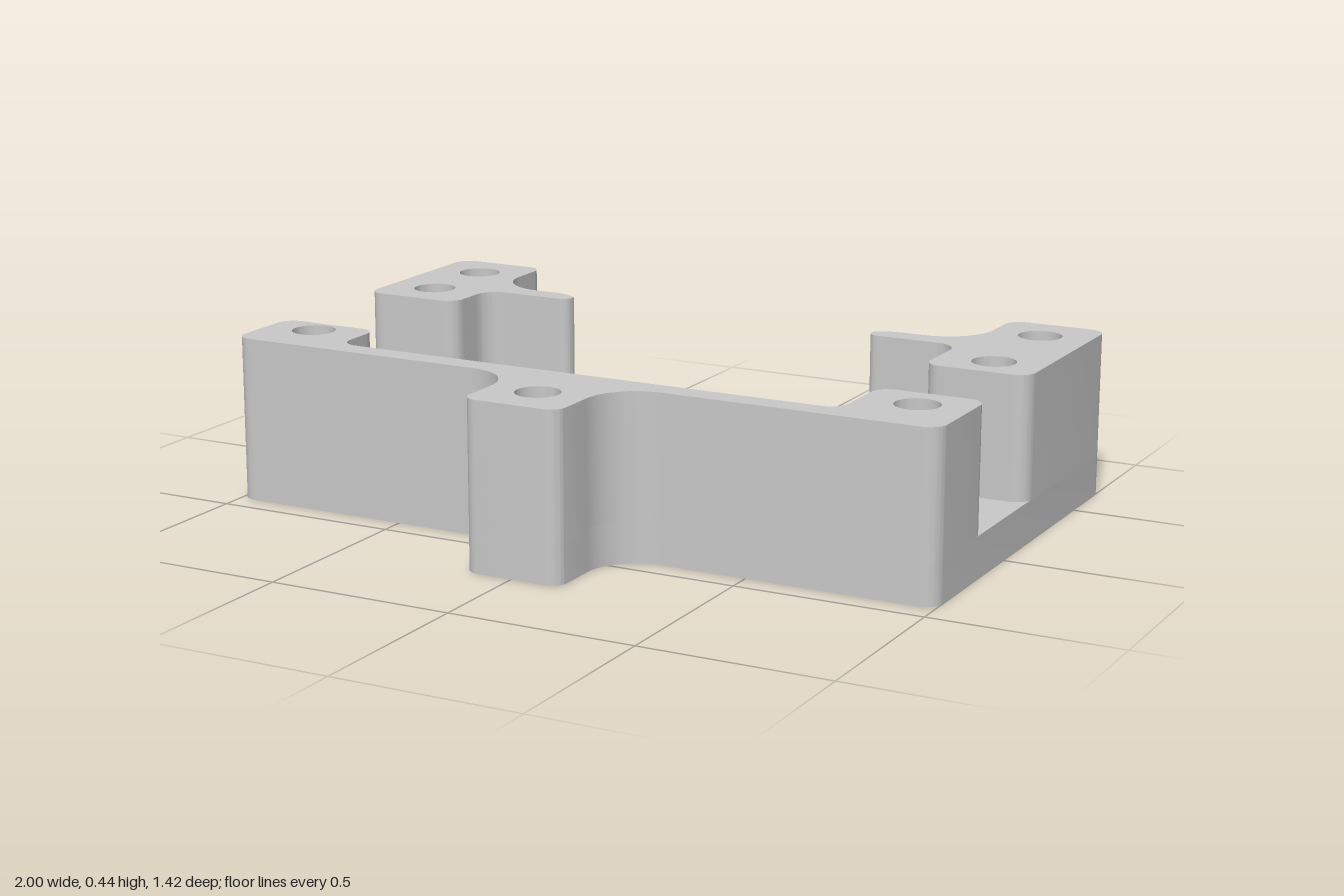
import * as THREE from 'three';
import { toCreasedNormals } from 'three/addons/utils/BufferGeometryUtils.js';

const BASE_TOP = 0.11, TOP = 0.44;

// Plan polygon from [x, z, cornerRadius] entries; returns points in shape space (x, -z)
function roundedPoints(corners) {
  const out = [], n = corners.length;
  corners.forEach(([x, z, r = 0], i) => {
    const p = new THREE.Vector2(x, -z);
    if (!r) { out.push(p); return; }
    const a = corners[(i + n - 1) % n], b = corners[(i + 1) % n];
    const u = new THREE.Vector2(a[0], -a[1]).sub(p).normalize();
    const v = new THREE.Vector2(b[0], -b[1]).sub(p).normalize();
    const half = Math.acos(u.dot(v)) / 2;
    const centre = u.clone().add(v).normalize().multiplyScalar(r / Math.sin(half)).add(p);
    const t = r / Math.tan(half);
    const s = u.multiplyScalar(t).add(p).sub(centre);
    const e = v.multiplyScalar(t).add(p).sub(centre);
    const sweep = Math.atan2(s.cross(e), s.dot(e));
    const steps = Math.max(4, Math.ceil(Math.abs(sweep) * 8));
    for (let k = 0; k <= steps; k++) {
      out.push(s.clone().rotateAround(new THREE.Vector2(), sweep * k / steps).add(centre));
    }
  });
  return out;
}

// Points [x, z] along an arc, angles in degrees measured from +x towards +z
function arc(cx, cz, r, from, to, steps) {
  return Array.from({ length: steps + 1 }, (_, k) => {
    const a = THREE.MathUtils.degToRad(from + (to - from) * k / steps);
    return [cx + r * Math.cos(a), cz + r * Math.sin(a)];
  });
}

const mirror = (pts) => pts.map(([x, z, r]) => [-x, z, r]).reverse();

// Upright slab with vertical bores; outline runs counter-clockwise, holes clockwise
function slab(name, corners, bores, y0, y1, material, openings = []) {
  const shape = new THREE.Shape(roundedPoints(corners).reverse());
  for (const [x, z, r] of bores) {
    const hole = new THREE.Path();
    hole.absarc(x, -z, r, 0, Math.PI * 2, true);
    shape.holes.push(hole);
  }
  for (const o of openings) shape.holes.push(new THREE.Path(roundedPoints(o)));
  const geo = new THREE.ExtrudeGeometry(shape, { depth: y1 - y0, bevelEnabled: false, curveSegments: 20 });
  geo.rotateX(-Math.PI / 2).translate(0, y0, 0);
  const mesh = new THREE.Mesh(toCreasedNormals(geo, 0.45), material);
  mesh.name = name;
  return mesh;
}

export function createModel() {
  const group = new THREE.Group();
  group.name = 'mountingBracket';
  const grey = new THREE.MeshStandardMaterial({ color: 0xc8c8c8 });
  grey.name = 'plainGrey';

  // Bores: x, z, radius
  const backLeftBores = [[-0.863, -0.577, 0.058], [-0.863, -0.333, 0.058]];
  const backRightBores = [[0.863, -0.577, 0.058], [0.863, -0.25, 0.058]];
  const frontBores = [[-0.863, 0.27, 0.058], [0.863, 0.245, 0.058], [0, 0.571, 0.058]];
  const innerBores = [-1, 1].flatMap((s) => [[s * 0.618, -0.25, 0.056], [s * 0.618, 0.245, 0.056]]);

  // Shared outline runs
  const backEar = [[-1, -0.71, 0.045], [-0.73, -0.71, 0.045], [-0.73, -0.44, 0.14], [-0.5, -0.44, 0.1]];
  const scoopAngle = 32.32;
  const scoop = arc(0, -1.131, 0.851, 90 + scoopAngle, 90 - scoopAngle, 28);
  const tongueHalf = [[0.135, 0.435, 0.135], [0.135, 0.71, 0.04]];
  const tongue = [[1, 0.435, 0.045], ...tongueHalf, ...mirror(tongueHalf), [-1, 0.435, 0.045]];

  // Base plate with central window
  const windowLeft = [
    [-0.45, 0.246, 0.02],
    ...arc(-0.618, 0.245, 0.162, -8, -84, 10),
    [-0.62, 0.075, 0.022], [-0.62, -0.08, 0.022],
    ...arc(-0.618, -0.25, 0.162, 84, 42.7, 6),
  ];
  group.add(slab('basePlate', [...backEar, ...scoop, ...mirror(backEar), ...tongue],
    [...backLeftBores, ...backRightBores, ...frontBores, ...innerBores],
    0, BASE_TOP, grey, [[...windowLeft, ...mirror(windowLeft)]]));

  // Back corner posts, each ending at its own depth
  const backPost = (endZ) => [
    ...backEar, [-0.455, -0.412], [-0.455, -0.375, 0.028],
    [-0.715, -0.375, 0.06], [-0.715, endZ, 0.045], [-1, endZ, 0.045],
  ];
  group.add(slab('backLeftPost', backPost(-0.2), backLeftBores, BASE_TOP, TOP, grey));
  group.add(slab('backRightPost', mirror(backPost(-0.14)), backRightBores, BASE_TOP, TOP, grey));

  // Front wall with end posts and tongue
  group.add(slab('frontWall', [
    [-1, 0.196, 0.045], [-0.715, 0.196, 0.045], [-0.715, 0.368, 0.05],
    [0.715, 0.368, 0.05], [0.715, 0.138, 0.045], [1, 0.138, 0.045], ...tongue,
  ], frontBores, BASE_TOP, TOP, grey));

  return group;
}
